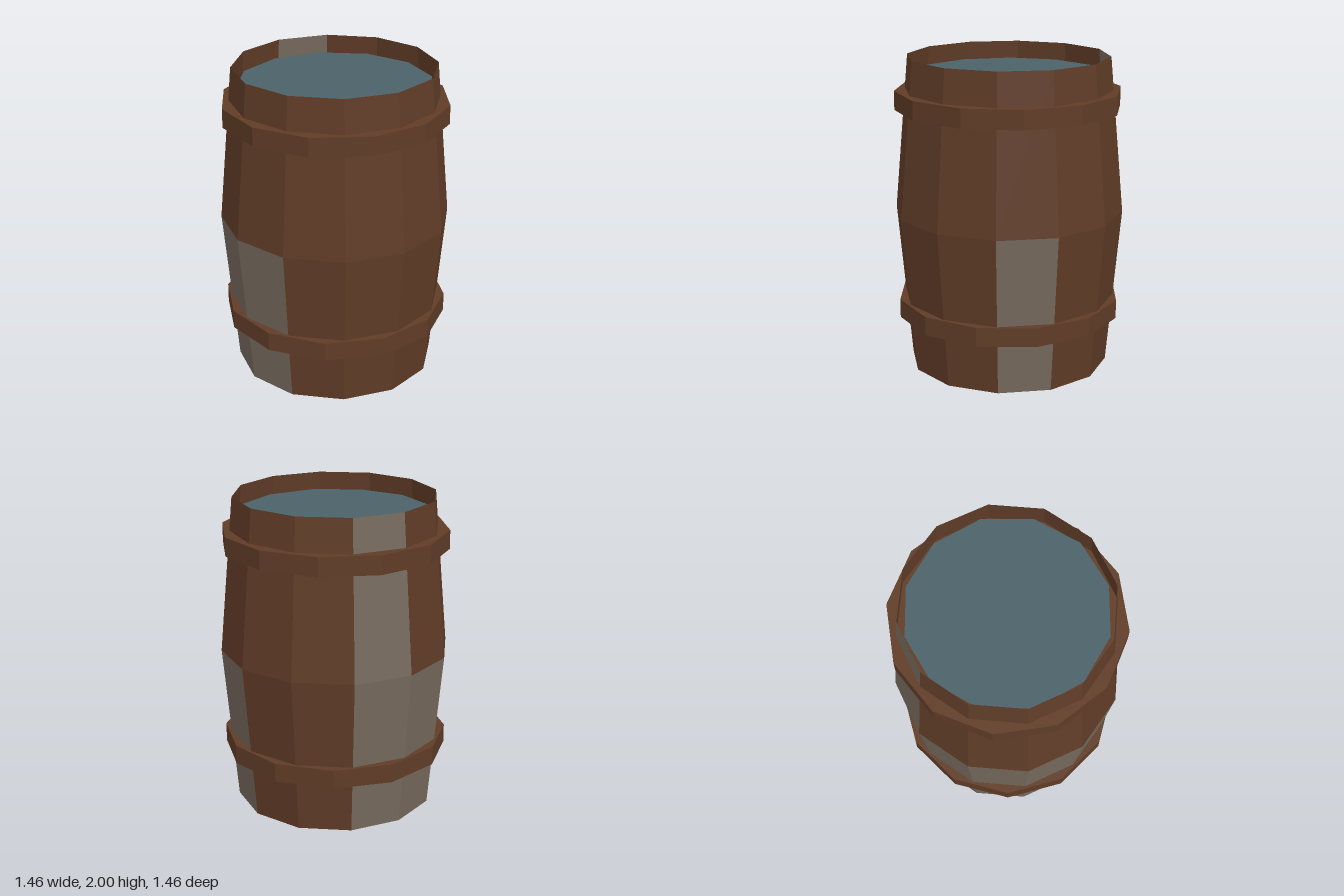
import * as THREE from 'three';

const SIDES = 12;
const STEP = (Math.PI * 2) / SIDES;
const rad = THREE.MathUtils.degToRad;

export function createModel() {
  const barrel = new THREE.Group();
  barrel.name = 'barrel';

  const wood = new THREE.MeshStandardMaterial({ color: 0x603c27, flatShading: true, side: THREE.DoubleSide });
  wood.name = 'brown wood';
  const worn = new THREE.MeshStandardMaterial({ color: 0x766a5d, flatShading: true, side: THREE.DoubleSide });
  worn.name = 'weathered grey wood';
  const liquid = new THREE.MeshStandardMaterial({ color: 0x4b6169, flatShading: true, side: THREE.DoubleSide });
  liquid.name = 'blue grey water';

  function add(name, geometry, material, y) {
    const mesh = new THREE.Mesh(geometry, material);
    mesh.name = name;
    mesh.position.y = y;
    barrel.add(mesh);
    return mesh;
  }

  // A run of neighbouring staves; the thin shell is open at both ends
  function staves(name, material, half, first, count) {
    const geometry = new THREE.CylinderGeometry(
      half.top, half.bottom, half.y1 - half.y0, count, 1, true, first * STEP, count * STEP);
    add(name, geometry, material, (half.y0 + half.y1) / 2);
  }

  const lower = { bottom: 0.64, top: 0.73, y0: 0, y1: 1.01 };
  const upper = { bottom: 0.73, top: 0.64, y0: 1.01, y1: 2 };

  staves('lowerFrontStaves', wood, lower, 11, 4);
  staves('lowerSideWornStave', worn, lower, 3, 1);
  staves('lowerBackStaves', wood, lower, 4, 2);
  staves('lowerBackWornStaves', worn, lower, 6, 5);
  staves('upperWornStave', worn, upper, 6, 1);
  staves('upperStaves', wood, upper, 7, 11);

  // Solid hoops, each slightly turned; their caps close the barrel inside
  for (const [name, y, turn] of [['lowerHoop', 0.39, 20], ['upperHoop', 1.73, 13]]) {
    const hoop = add(name, new THREE.CylinderGeometry(0.717, 0.717, 0.12, SIDES), wood, y);
    hoop.rotation.y = rad(turn);
  }

  // Water surface just below the rim
  const water = add('waterSurface', new THREE.CircleGeometry(0.612, SIDES).rotateX(-Math.PI / 2), liquid, 1.89);
  water.rotation.y = rad(5);

  return barrel;
}
